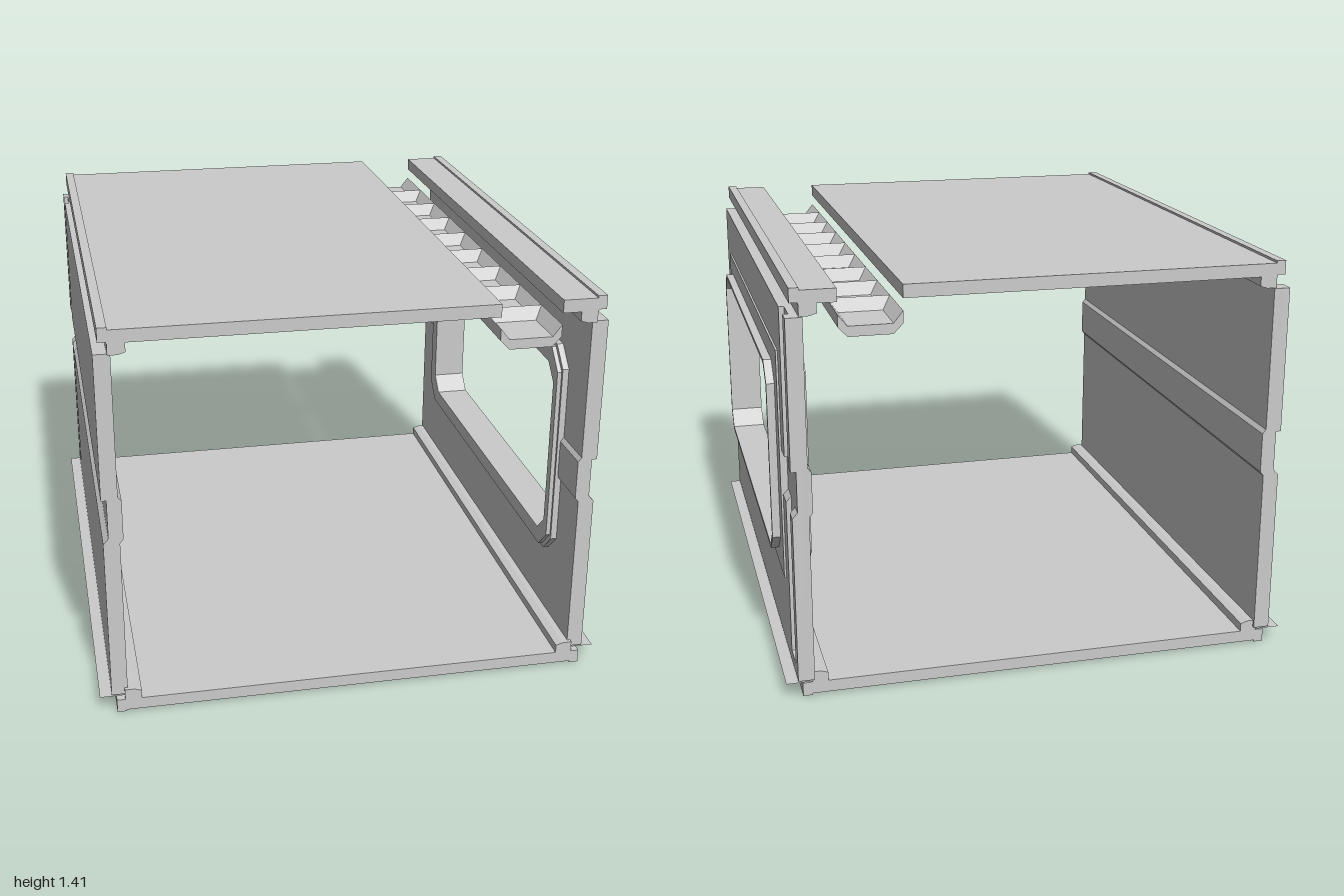
import * as THREE from 'three';

const grey = new THREE.MeshStandardMaterial({ color: 0xcccccc, flatShading: true });
const thin = new THREE.MeshStandardMaterial({ color: 0xcccccc, flatShading: true, side: THREE.DoubleSide });

function add(parent, name, geometry, material = grey) {
  const mesh = new THREE.Mesh(geometry, material);
  mesh.name = name;
  parent.add(mesh);
  return mesh;
}

function box(parent, name, x0, x1, y0, y1, z0, z1) {
  const g = new THREE.BoxGeometry(Math.abs(x1 - x0), y1 - y0, z1 - z0);
  g.translate((x0 + x1) / 2, (y0 + y1) / 2, (z0 + z1) / 2);
  return add(parent, name, g);
}

const toShape = (pts) => new THREE.Shape(pts.map(([a, b]) => new THREE.Vector2(a, b)));

// Profile in x and y, run along z
function alongZ(parent, name, pts, z0, z1) {
  const g = new THREE.ExtrudeGeometry(toShape(pts), { depth: z1 - z0, bevelEnabled: false });
  g.translate(0, 0, z0);
  return add(parent, name, g);
}

// Rectangle in z and y with cut corners
function cutRect(z0, z1, y0, y1, c) {
  const a = -z1, b = -z0;
  if (!c) return [[a, y0], [b, y0], [b, y1], [a, y1]];
  return [[a + c, y0], [b - c, y0], [b, y0 + c], [b, y1 - c],
    [b - c, y1], [a + c, y1], [a, y1 - c], [a, y0 + c]];
}

// Outline with an optional hole, run along x
function alongX(parent, name, outer, hole, x0, x1) {
  const shape = toShape(outer);
  if (hole) shape.holes.push(toShape(hole));
  const g = new THREE.ExtrudeGeometry(shape, { depth: x1 - x0, bevelEnabled: false });
  g.rotateY(Math.PI / 2);
  g.translate(x0, 0, 0);
  return add(parent, name, g);
}

const Y0 = 0.065, Y1 = 1.32, ZB = -1, ZF = 0.985; // wall limits
const BAND0 = 0.66, BAND1 = 0.81;                 // horizontal band
const opening = cutRect(-0.685, 0.765, 0.415, 1.075, 0.06);

function buildWall(s, hasWindow) {
  const wall = new THREE.Group();
  wall.name = hasWindow ? 'windowWall' : 'solidWall';
  const xIn = 0.797, xMid = 0.835, xOut = 0.853;

  // core panel
  const a = s > 0 ? xIn : -xMid, b = s > 0 ? xMid : -xIn;
  alongX(wall, 'corePanel', cutRect(ZB, ZF, Y0, Y1, 0), hasWindow ? opening : null, a, b);

  // outer skin, split by the recessed band
  const lower = (z0, z1) => alongZ(wall, 'lowerSkin', [
    [s * xMid, Y0], [s * xOut, Y0], [s * xOut, BAND0 - 0.01], [s * xMid, BAND0 + 0.01]], z0, z1);
  const upper = (z0, z1) => box(wall, 'upperSkin', s * xMid, s * xOut, BAND1, Y1, z0, z1);
  const spans = hasWindow ? [[-0.845, -0.77], [0.82, ZF]] : [[-0.845, ZF]];
  for (const [z0, z1] of spans) {
    lower(z0, z1);
    upper(z0, z1);
  }
  if (hasWindow) {
    box(wall, 'skinBelowWindow', xMid, xOut, Y0, 0.345, -0.77, 0.82);
    box(wall, 'skinAboveWindow', xMid, xOut, 1.155, Y1, -0.77, 0.82);
  }

  // upright slot near the back, with its sill and end post
  box(wall, 'slotSill', s * xMid, s * xOut, Y0, 0.105, -0.945, -0.845);
  lower(ZB, -0.945);
  upper(ZB, -0.945);

  // band standing out on the inside
  const inner = hasWindow ? [[ZB, -0.75], [0.8, ZF]] : [[ZB, ZF]];
  for (const [z0, z1] of inner) {
    alongZ(wall, 'innerBand', [[s * xIn, BAND0 - 0.01], [s * 0.785, BAND0 + 0.005],
      [s * 0.785, BAND1 - 0.005], [s * xIn, BAND1 + 0.01]], z0, z1);
  }
  return wall;
}

function buildWindow() {
  const win = new THREE.Group();
  win.name = 'windowFrame';
  alongX(win, 'outerPlate', cutRect(-0.77, 0.82, 0.345, 1.155, 0), opening, 0.835, 0.86);
  alongX(win, 'outerRing', cutRect(-0.7, 0.78, 0.402, 1.088, 0.066), opening, 0.86, 0.888);
  alongX(win, 'innerTrim', cutRect(-0.76, 0.81, 0.345, 1.15, 0.07), opening, 0.775, 0.8);
  alongX(win, 'innerTrimLip', cutRect(-0.75, 0.8, 0.358, 1.137, 0.07), opening, 0.76, 0.775);
  return win;
}

function buildTray() {
  const tray = new THREE.Group();
  tray.name = 'roofTray';
  const top = 1.32, floor = 1.28;
  alongZ(tray, 'trough', [[0.475, top], [0.475, 1.278], [0.507, 1.245], [0.655, 1.245],
    [0.686, 1.278], [0.686, top], [0.655, floor], [0.507, floor]], -0.99, 1);

  // cross ridges: full width at the crest, narrow at the foot
  const L = 0.475, R = 0.686, l = 0.507, r = 0.655, d = 0.04;
  const ridge = new THREE.BufferGeometry();
  ridge.setAttribute('position', new THREE.Float32BufferAttribute([
    l, floor, d, r, floor, d, R, top, 0, L, top, 0, l, floor, -d, r, floor, -d], 3));
  ridge.setIndex([0, 1, 2, 0, 2, 3, 5, 4, 3, 5, 3, 2, 0, 3, 4, 1, 5, 2, 4, 5, 1, 4, 1, 0]);
  ridge.computeVertexNormals();
  for (let i = 0; i < 8; i++) add(tray, 'crossRidge', ridge).position.z = -0.77 + i * 0.2235;
  return tray;
}

export function createModel() {
  const model = new THREE.Group();
  model.name = 'openBoxModule';
  const z0 = -0.99, z1 = 1;

  // floor and roof decks; the roof is open above the tray
  box(model, 'floor', -0.81, 0.81, 0.01, 0.052, z0, z1);
  box(model, 'roof', -0.81, 0.475, 1.36, 1.405, z0, z1);
  box(model, 'roofSidePanel', 0.686, 0.81, 1.36, 1.405, z0, z1);

  // edge rails, inner lips and thin side flanges
  for (const s of [-1, 1]) {
    box(model, 'floorRail', s * 0.805, s * 0.837, 0.004, 0.052, z0, z1);
    box(model, 'roofRail', s * 0.805, s * 0.837, 1.365, 1.413, z0, z1);
    alongZ(model, 'floorLip', [[s * 0.75, 0.05], [s * 0.808, 0.05], [s * 0.808, 0.09],
      [s * 0.775, 0.09], [s * 0.75, 0.082]], z0, z1);
    alongZ(model, 'roofLip', [[s * 0.75, 1.365], [s * 0.808, 1.365], [s * 0.808, 1.32],
      [s * 0.775, 1.32], [s * 0.75, 1.328]], z0, z1);
    const flange = new THREE.PlaneGeometry(0.09, 1.985);
    flange.rotateX(-Math.PI / 2);
    flange.translate(s * 0.849, 0.06, -0.0075);
    add(model, 'sideFlange', flange, thin);
  }

  model.add(buildWall(-1, false), buildWall(1, true), buildWindow(), buildTray());
  return model;
}
